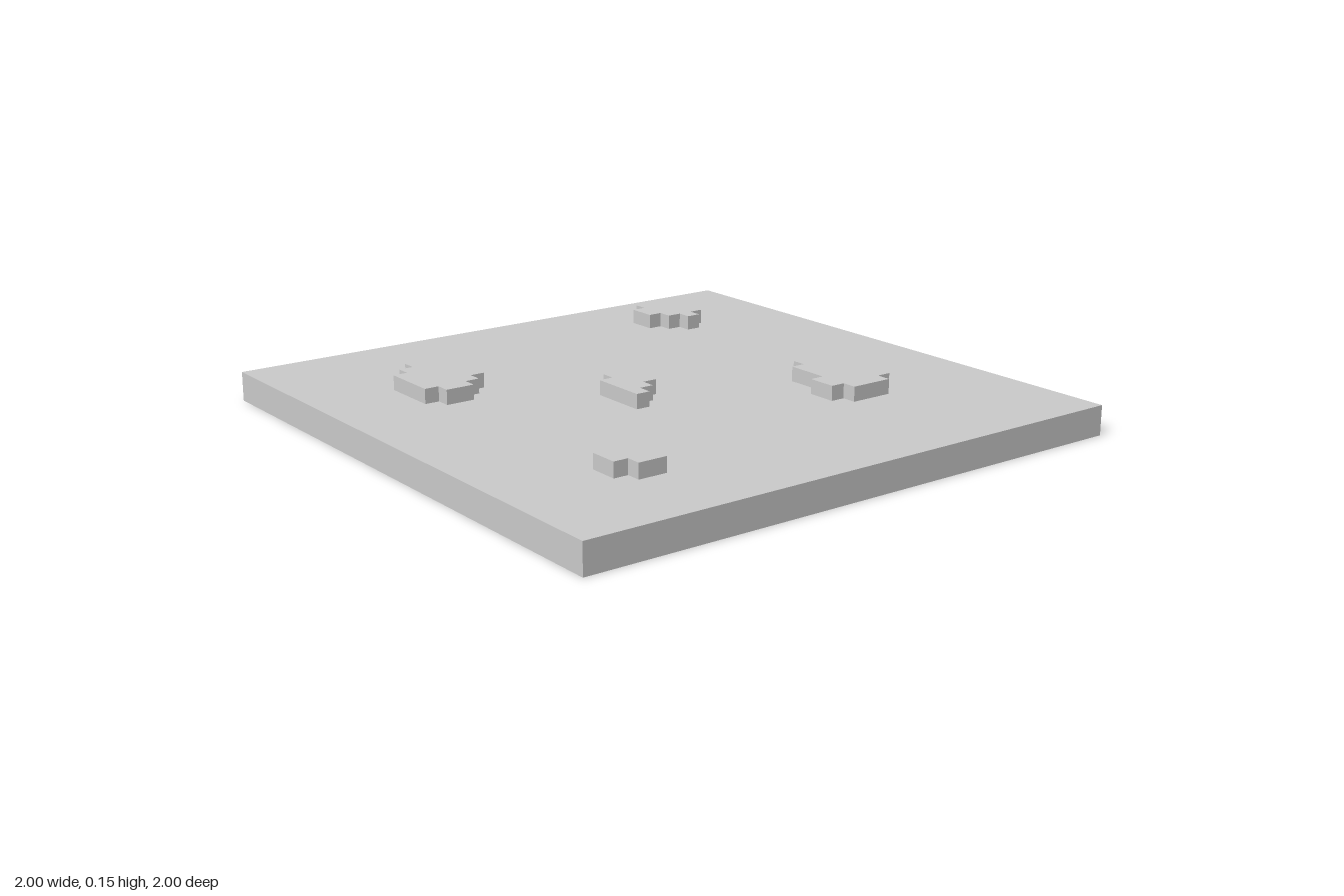
import * as THREE from 'three';

const CELL = 0.05;
const BASE_HEIGHT = 0.1;

// Each patch: back edge z, then rows [depth in cells, left x, right x] from back to front
const PATCHES = [
  { name: 'backRightPatch', z: -0.6, rows: [[1, -0.6, -0.5], [1, -0.65, -0.45], [3, -0.7, -0.45], [1, -0.7, -0.5], [1, -0.65, -0.55]] },
  { name: 'backLeftPatch', z: -0.8, rows: [[1, 0.5, 0.55], [1, 0.45, 0.6], [1, 0.45, 0.65], [1, 0.5, 0.65], [1, 0.55, 0.6]] },
  { name: 'centrePatch', z: -0.1, rows: [[1, -0.15, -0.1], [2, -0.2, -0.05], [1, -0.2, -0.1], [1, -0.2, -0.15]] },
  { name: 'frontLeftPatch', z: 0.15, rows: [[1, 0.45, 0.55], [3, 0.4, 0.6], [2, 0.35, 0.6], [1, 0.4, 0.55]] },
  { name: 'frontRightPatch', z: 0.55, rows: [[1, -0.65, -0.6], [1, -0.65, -0.55], [1, -0.6, -0.5]] },
];

// Stepped outline: down the right side of the rows, then back up the left
function patchGeometry({ z, rows }) {
  const right = [];
  const left = [];
  const add = (side, x, y) => {
    const last = side[side.length - 1];
    const before = side[side.length - 2];
    // Straight runs along one side keep only their end points
    if (last && before && last.x === x && before.x === x) side.pop();
    side.push(new THREE.Vector2(x, y));
  };
  let y = -z;
  for (const [cells, x0, x1] of rows) {
    const next = y - cells * CELL;
    for (const edge of [y, next]) {
      if (!right.some((p) => p.x === x1 && p.y === edge)) add(right, x1, edge);
      if (!left.some((p) => p.x === x0 && p.y === edge)) add(left, x0, edge);
    }
    y = next;
  }
  const shape = new THREE.Shape([...right, ...left.reverse()]);
  return new THREE.ExtrudeGeometry(shape, { depth: CELL, bevelEnabled: false }).rotateX(-Math.PI / 2);
}

export function createModel() {
  const model = new THREE.Group();
  model.name = 'groundTile';
  const material = new THREE.MeshStandardMaterial({ color: 0xcccccc, flatShading: true });

  // Square slab
  const slab = new THREE.Mesh(new THREE.BoxGeometry(2, BASE_HEIGHT, 2), material);
  slab.name = 'slab';
  slab.position.y = BASE_HEIGHT / 2;
  model.add(slab);

  // Raised blocky patches
  for (const patch of PATCHES) {
    const mesh = new THREE.Mesh(patchGeometry(patch), material);
    mesh.name = patch.name;
    mesh.position.y = BASE_HEIGHT;
    model.add(mesh);
  }
  return model;
}
